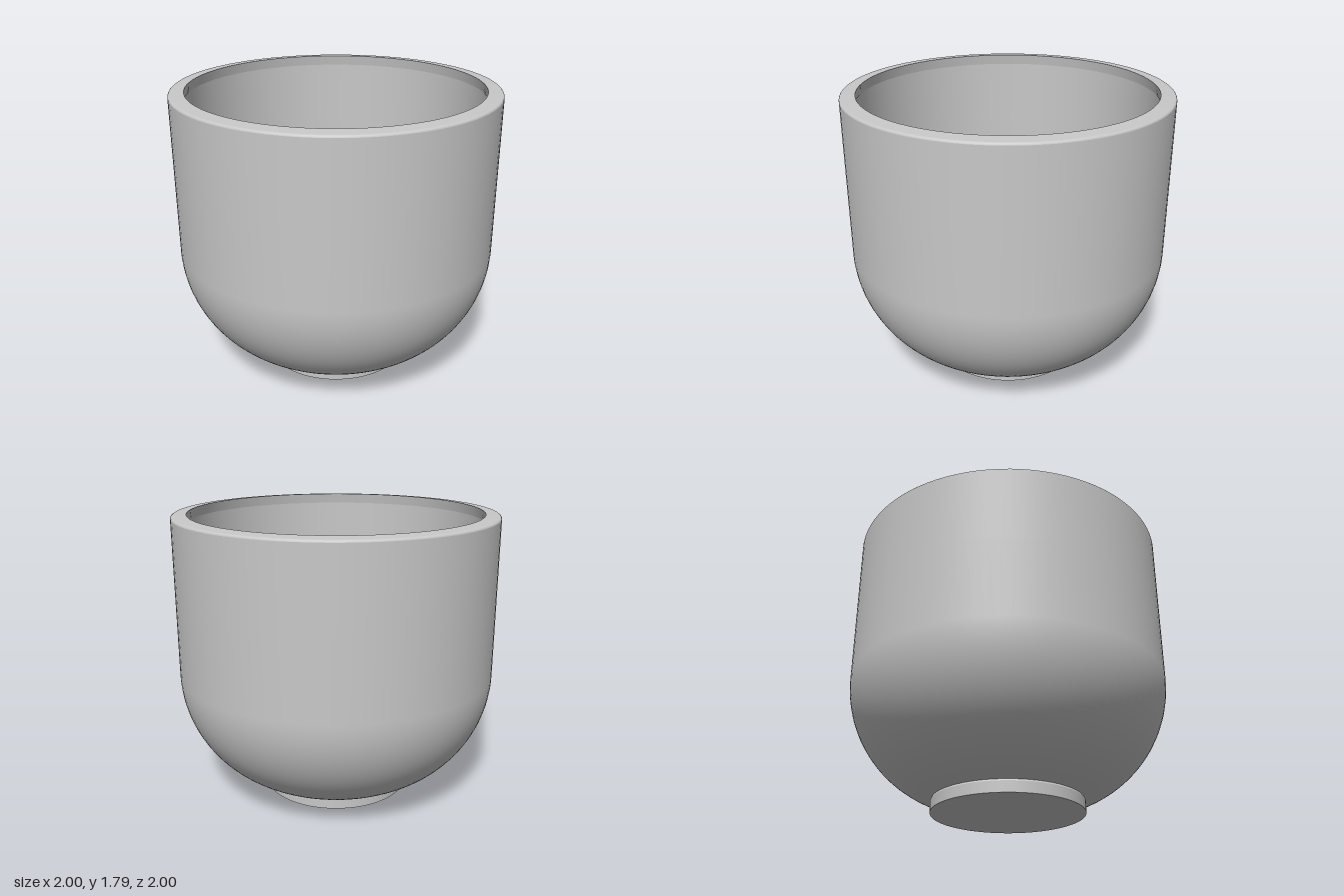
import * as THREE from 'three';

const SEGMENTS = 96;

// Points on a circular arc in the profile plane, angles in radians
function arc(cx, cy, r, from, to, steps) {
  return Array.from({ length: steps + 1 }, (_, i) => {
    const a = from + ((to - from) * i) / steps;
    return [cx + r * Math.cos(a), cy + r * Math.sin(a)];
  });
}

export function createModel() {
  const group = new THREE.Group();
  group.name = 'cup';
  const ceramic = new THREE.MeshStandardMaterial({ color: 0xc8c8c8 });
  ceramic.name = 'grey ceramic';

  // Each profile runs bottom, outside, rim, inside; separate parts keep crisp edges
  const revolve = (name, profile) => {
    const points = profile.map(([x, y]) => new THREE.Vector2(x, y));
    const mesh = new THREE.Mesh(new THREE.LatheGeometry(points, SEGMENTS), ceramic);
    mesh.name = name;
    group.add(mesh);
  };

  // Both bowl curves share one centre, so the wall keeps its thickness
  const cx = 0.246, cy = 0.8, outerR = 0.754, innerR = 0.672;
  const outerEnd = -Math.acos((0.465 - cx) / outerR);
  const innerEnd = -Math.acos((0.445 - cx) / innerR);
  const innerStartY = cy + innerR * Math.sin(innerEnd);

  // Foot
  revolve('footBase', [[0, 0], [0.47, 0]]);
  revolve('footSide', [[0.47, 0], [0.47, 0.068]]);
  revolve('footFillet', [[0.47, 0.068], [0.465, cy + outerR * Math.sin(outerEnd)]]);

  // Outer bowl and straight wall
  revolve('outerWall', [...arc(cx, cy, outerR, outerEnd, 0, 28), [1, 1.3], [1, 1.775]]);

  // Rim with a softened outer edge
  revolve('rimEdge', arc(0.985, 1.773, 0.015, 0, Math.PI / 2, 4));
  revolve('rimTop', [[0.985, 1.788], [0.905, 1.795]]);
  revolve('innerLip', [[0.905, 1.795], [0.916, 1.73]]);

  // Inner wall curving down into a rounded step
  revolve('innerWall', [
    [0.916, 1.73], [0.918, 1.3], ...arc(cx, cy, innerR, 0, innerEnd, 28),
    [0.428, innerStartY - 0.014], [0.416, innerStartY - 0.035], [0.412, 0.09],
  ]);

  // Slightly domed floor
  revolve('innerFloor', [[0.412, 0.09], [0.33, 0.102], [0.22, 0.11], [0.11, 0.115], [0, 0.117]]);

  return group;
}
